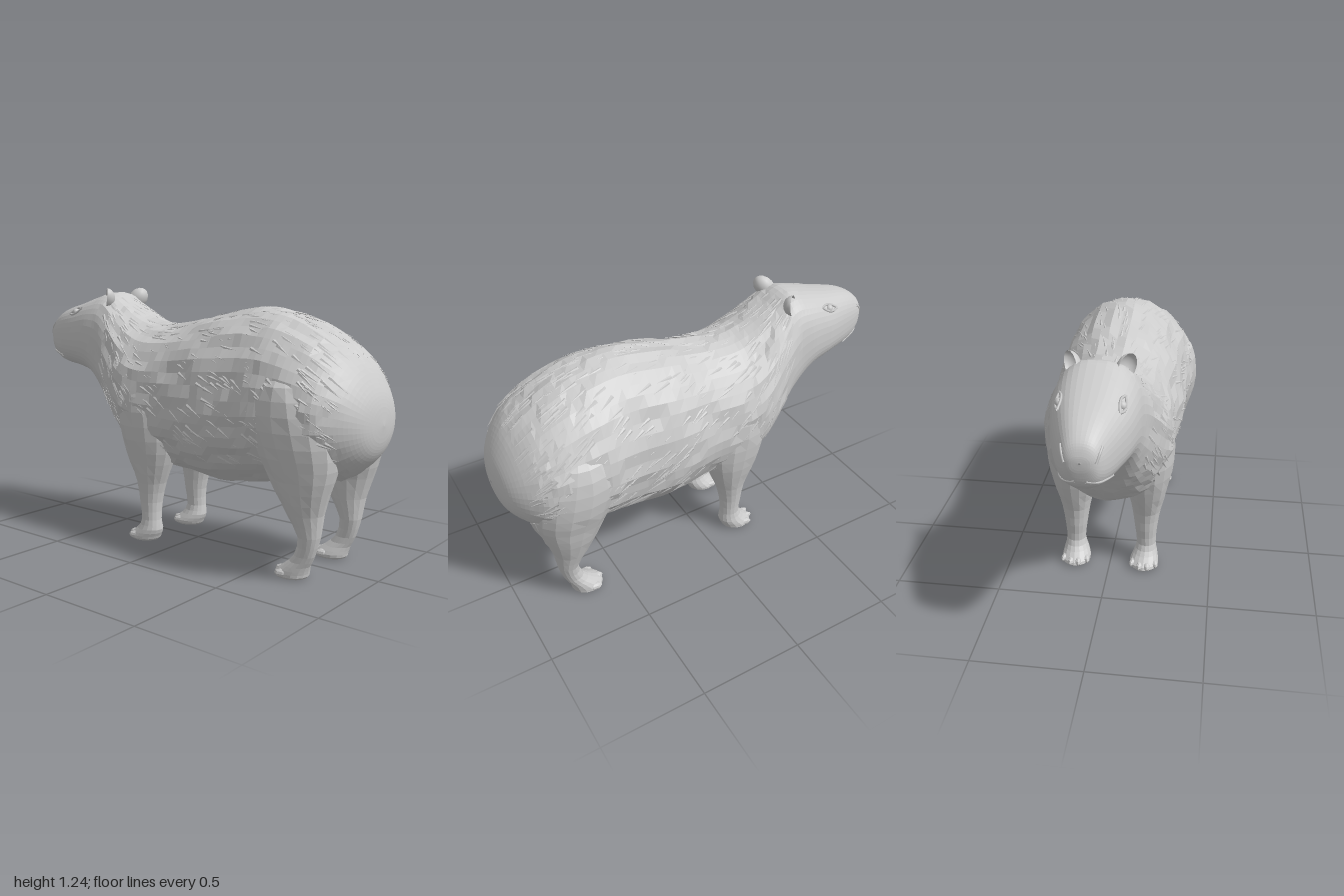
import * as THREE from 'three';
import { mergeGeometries } from 'three/addons/utils/BufferGeometryUtils.js';

const mat = new THREE.MeshStandardMaterial({ color: 0xcccccc, flatShading: true });
const thinMat = new THREE.MeshStandardMaterial({ color: 0xcccccc, side: THREE.DoubleSide });

// Body cross-sections, nose to rump: x, top, bottom, height of widest point, half width
const BODY = [
  [-1.0, 1.0, 0.995, 1.0, 0.005], [-0.995, 1.03, 0.95, 0.99, 0.045], [-0.975, 1.07, 0.89, 0.98, 0.075],
  [-0.93, 1.105, 0.855, 0.97, 0.1], [-0.86, 1.135, 0.835, 0.97, 0.128], [-0.74, 1.165, 0.82, 0.97, 0.165],
  [-0.62, 1.2, 0.78, 0.97, 0.188], [-0.52, 1.22, 0.67, 0.93, 0.2], [-0.42, 1.16, 0.535, 0.86, 0.235],
  [-0.3, 1.1, 0.425, 0.76, 0.285], [-0.18, 1.07, 0.375, 0.71, 0.3], [0, 1.085, 0.355, 0.7, 0.295],
  [0.2, 1.13, 0.335, 0.7, 0.325], [0.4, 1.16, 0.36, 0.7, 0.32], [0.57, 1.14, 0.39, 0.72, 0.34],
  [0.72, 1.08, 0.405, 0.72, 0.34], [0.83, 1.01, 0.43, 0.71, 0.315], [0.91, 0.93, 0.48, 0.7, 0.25],
  [0.965, 0.84, 0.54, 0.69, 0.175], [0.99, 0.77, 0.6, 0.68, 0.1], [1, 0.69, 0.68, 0.685, 0.005],
];
// Leg cross-sections, sole to top: y, x min, x max, z min, z max
const HIND = [
  [0, 0.66, 0.68, 0.16, 0.18], [0.003, 0.6, 0.74, 0.11, 0.235], [0.025, 0.595, 0.75, 0.1, 0.243],
  [0.06, 0.64, 0.76, 0.12, 0.235], [0.11, 0.69, 0.785, 0.138, 0.225], [0.2, 0.71, 0.81, 0.127, 0.237],
  [0.3, 0.655, 0.825, 0.108, 0.267], [0.4, 0.6, 0.855, 0.09, 0.3], [0.5, 0.545, 0.885, 0.06, 0.325],
  [0.6, 0.5, 0.89, 0.05, 0.352], [0.73, 0.47, 0.87, 0.08, 0.362], [0.85, 0.53, 0.8, 0.12, 0.335],
  [0.93, 0.62, 0.7, 0.16, 0.25],
];
const FORE = [
  [0, -0.2, -0.18, 0.16, 0.18], [0.003, -0.27, -0.13, 0.11, 0.235], [0.025, -0.275, -0.115, 0.1, 0.243],
  [0.06, -0.235, -0.1, 0.115, 0.235], [0.11, -0.205, -0.105, 0.13, 0.225], [0.2, -0.215, -0.1, 0.12, 0.23],
  [0.3, -0.23, -0.075, 0.105, 0.245], [0.4, -0.27, -0.035, 0.085, 0.27], [0.52, -0.31, 0.0, 0.06, 0.295],
  [0.66, -0.33, 0.0, 0.06, 0.305], [0.8, -0.29, -0.06, 0.1, 0.285], [0.9, -0.2, -0.14, 0.15, 0.21],
];

const hash = (a, b) => {
  const s = Math.sin(a * 127.1 + b * 311.7) * 43758.5453;
  return s - Math.floor(s);
};
const spow = (v, e) => Math.sign(v) * Math.abs(v) ** e;

// Smooth interpolation between table rows, u measured in rows
function sample(table, u) {
  const n = table.length - 1, i = Math.min(Math.floor(u), n - 1), t = u - i;
  const [a, b, c, d] = [i - 1, i, i + 1, i + 2].map(k => table[THREE.MathUtils.clamp(k, 0, n)]);
  return b.map((_, k) => {
    const m0 = (c[k] - a[k]) / 2, m1 = (d[k] - b[k]) / 2, t2 = t * t, t3 = t2 * t;
    return (2 * t3 - 3 * t2 + 1) * b[k] + (t3 - 2 * t2 + t) * m0 + (3 * t2 - 2 * t3) * c[k] + (t3 - t2) * m1;
  });
}

// Skin a tube of closed rings
function loft(rows, cols, point) {
  const pos = [], idx = [];
  for (let i = 0; i <= rows; i++) {
    for (let j = 0; j < cols; j++) {
      pos.push(...point(i, j));
      if (i === rows) continue;
      const a = i * cols + j, b = i * cols + (j + 1) % cols;
      idx.push(a, a + cols, b + cols, a, b + cols, b);
    }
  }
  const g = new THREE.BufferGeometry();
  g.setAttribute('position', new THREE.Float32BufferAttribute(pos, 3));
  g.setIndex(idx);
  g.computeVertexNormals();
  return g;
}

function bodyPoint(u, angle, lift = 0) {
  const [x, top, bottom, mid, w] = sample(BODY, u);
  const e = THREE.MathUtils.lerp(0.82, 1, THREE.MathUtils.smoothstep(x, -0.5, -0.2));
  const s = Math.sin(angle), c = Math.cos(angle);
  return new THREE.Vector3(x, mid + ((s > 0 ? top - mid : mid - bottom) + lift) * spow(s, e), (w + lift) * spow(c, e));
}

// Torso and head with a streaky coat relief
function bodyGeometry() {
  const rows = 90, cols = 44;
  return loft(rows, cols, (i, j) => {
    const u = i / rows * (BODY.length - 1), x = sample(BODY, u)[0];
    const furry = THREE.MathUtils.smoothstep(x, -0.6, -0.35) * (1 - THREE.MathUtils.smoothstep(x, 0.8, 0.95));
    const lift = furry * 0.016 * (hash(Math.floor((i + j * 2) / 4), j) - 0.5);
    return bodyPoint(u, j / cols * Math.PI * 2, lift).toArray();
  });
}

// Flat tapering locks of hair lying back along the coat
function furGeometry() {
  const locks = [], up = new THREE.Vector3(0, 1, 0);
  for (let k = 0; k < 620; k++) {
    const u = 7.6 + hash(k, 1) * 9.2, a = -0.7 + hash(k, 2) * (Math.PI + 1.4);
    const p = bodyPoint(u, a);
    const du = bodyPoint(u + 0.05, a).sub(p).normalize(), da = bodyPoint(u, a + 0.05).sub(p).normalize();
    const normal = du.clone().cross(da).normalize();
    const down = up.clone().projectOnPlane(normal).multiplyScalar(-0.3 - 0.4 * hash(k, 3));
    const dir = du.add(down).addScaledVector(normal, 0.13).normalize();
    const side = dir.clone().cross(normal).normalize();
    const out = side.clone().cross(dir);
    const g = new THREE.ConeGeometry(0.009, 0.06 + 0.05 * hash(k, 4), 4, 1, true);
    g.scale(1, 1, 0.5);
    g.applyMatrix4(new THREE.Matrix4().makeBasis(side, dir, out).setPosition(p.addScaledVector(normal, 0.001)));
    locks.push(g);
  }
  return mergeGeometries(locks);
}

function legGeometry(table, side) {
  const rows = (table.length - 1) * 2, cols = 16;
  return loft(rows, cols, (i, j) => {
    const [y, x0, x1, z0, z1] = sample(table, i / 2), a = j / cols * Math.PI * 2;
    const r = 1 + (y > 0.3 ? 0.04 : 0.01) * (hash(i >> 1, j) - 0.5);
    return [(x0 + x1) / 2 + (x1 - x0) / 2 * r * Math.cos(a), Math.max(y, 0),
      side * (z0 + z1) / 2 + (z1 - z0) / 2 * r * Math.sin(a)];
  });
}

export function createModel() {
  const model = new THREE.Group();
  const add = (name, geometry, material = mat, parent = model) => {
    const m = new THREE.Mesh(geometry, material);
    m.name = name;
    parent.add(m);
    return m;
  };
  add('body', bodyGeometry());
  add('furLocks', furGeometry());

  for (const side of [1, -1]) {
    const label = side > 0 ? 'left' : 'right';
    const at = (u, a, lift = 0) => bodyPoint(u, side > 0 ? a : Math.PI - a, lift);

    // Legs with splayed toes
    for (const [name, table, toes, x] of [['FrontLeg', FORE, 4, -0.245], ['HindLeg', HIND, 3, 0.63]]) {
      const leg = new THREE.Group();
      leg.name = label + name;
      model.add(leg);
      add('limb', legGeometry(table, side), mat, leg);
      for (let k = 0; k < toes; k++) {
        const f = k / (toes - 1) * 2 - 1;
        const toe = add('toe', new THREE.SphereGeometry(1, 8, 6), mat, leg);
        toe.scale.set(0.045, 0.021, 0.075 / toes);
        toe.position.set(x + 0.03 * f * f, 0.023, side * 0.172 + f * 0.05);
        toe.rotation.y = f * 0.3;
      }
    }

    // Cupped ear opening forward and outward
    const ear = add(label + 'Ear', new THREE.SphereGeometry(1, 14, 6, 0, Math.PI * 2, 0, Math.PI / 2), thinMat);
    ear.scale.set(0.048, 0.045, 0.062);
    ear.position.set(-0.51, 1.187, side * 0.118);
    ear.quaternion.setFromUnitVectors(new THREE.Vector3(0, -1, 0), new THREE.Vector3(-0.65, 0.1, side * 0.75).normalize());

    // Eye with almond lids
    const eye = add(label + 'Eye', new THREE.SphereGeometry(0.019, 10, 8), thinMat);
    eye.position.copy(at(5.1, 0.78, -0.004));
    for (const bend of [0.1, -0.09]) {
      const lid = new THREE.CatmullRomCurve3([-0.4, -0.15, 0.15, 0.4].map((d, k) =>
        at(5.1 + d, 0.78 + d * 0.1 + (k % 3 ? bend : 0), 0.003)));
      add(label + 'Eyelid', new THREE.TubeGeometry(lid, 10, 0.006, 5), thinMat);
    }

    // Nostril rim and lip line
    const nostril = new THREE.CatmullRomCurve3([at(1.5, 0.1), at(2.1, 0.45), at(2.7, 0.6)]);
    add(label + 'Nostril', new THREE.TubeGeometry(nostril, 8, 0.006, 5), thinMat);
    const lip = new THREE.CatmullRomCurve3([at(1.6, -1.3), at(2.3, -0.75), at(3.2, -0.6), at(4, -0.65)]);
    add(label + 'Lip', new THREE.TubeGeometry(lip, 10, 0.006, 5), thinMat);
  }
  return model;
}
